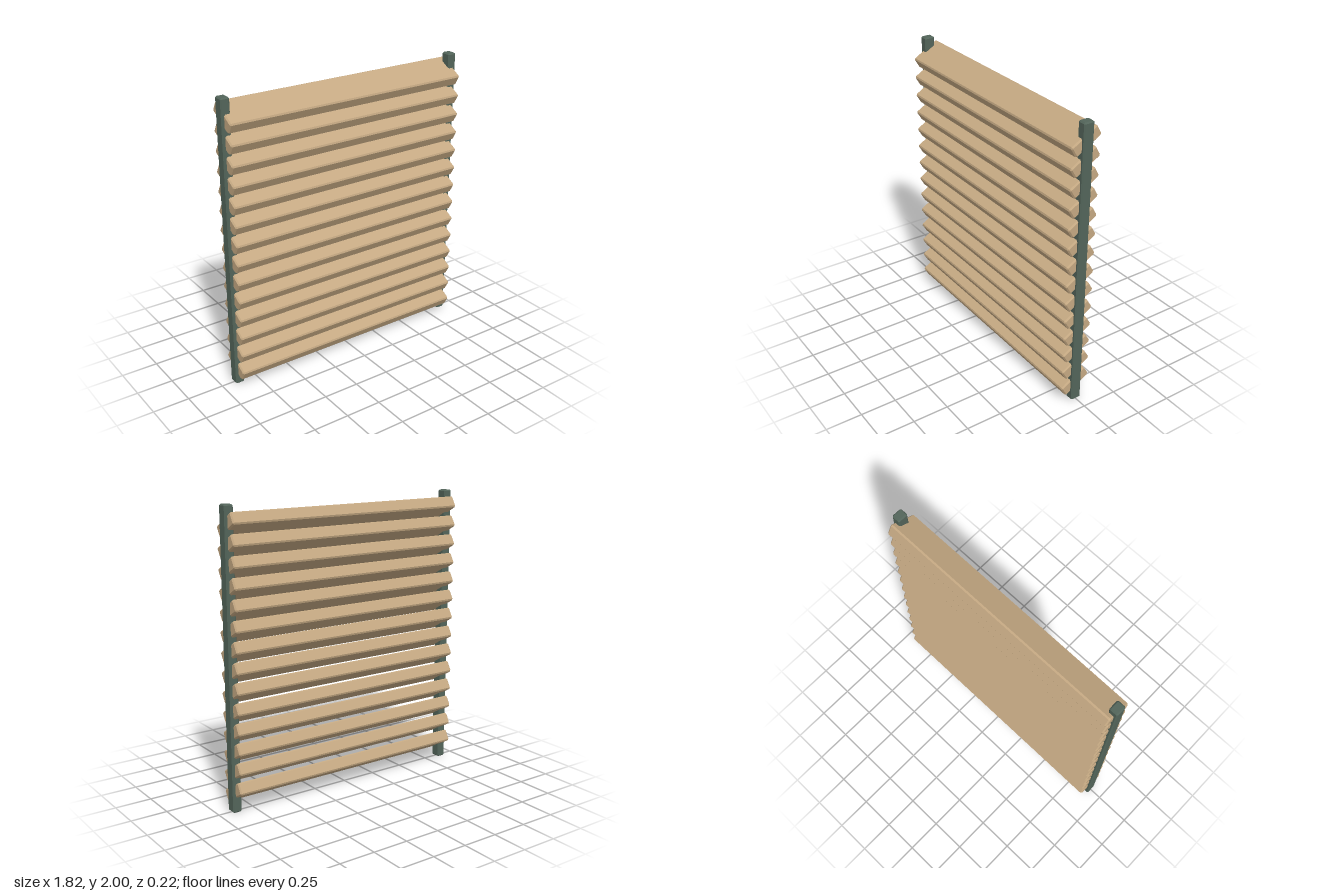
import * as THREE from 'three';

// Box with all edges chamfered by c, centred, its length along z
function chamferBox(w, h, length, c) {
  const x = w / 2, y = h / 2;
  const shape = new THREE.Shape([
    [x - c, -y], [x, -y + c], [x, y - c], [x - c, y],
    [-x + c, y], [-x, y - c], [-x, -y + c], [-x + c, -y],
  ].map(([px, py]) => new THREE.Vector2(px, py)));
  const geometry = new THREE.ExtrudeGeometry(shape, {
    depth: length - 2 * c,
    bevelEnabled: true,
    bevelSegments: 1,
    bevelThickness: c,
    bevelSize: c,
    bevelOffset: -c,
  });
  return geometry.translate(0, 0, c - length / 2);
}

export function createModel() {
  const model = new THREE.Group();
  model.name = 'louvreScreen';

  const wood = new THREE.MeshStandardMaterial({ color: 0xc4a882 });
  const metal = new THREE.MeshStandardMaterial({ color: 0x53655a });

  // Two upright posts
  const postGeometry = chamferBox(0.062, 0.074, 2, 0.008).rotateX(Math.PI / 2);
  for (const side of [-1, 1]) {
    const post = new THREE.Mesh(postGeometry, metal);
    post.name = side > 0 ? 'leftPost' : 'rightPost';
    post.position.set(side * 0.88, 1, 0);
    model.add(post);
  }

  // Tilted slats, front edge down
  const slatCount = 14, firstY = 0.132, lastY = 1.872;
  const slatGeometry = chamferBox(0.211, 0.083, 1.786, 0.009).rotateY(Math.PI / 2);
  const slats = new THREE.Group();
  slats.name = 'slats';
  for (let i = 0; i < slatCount; i++) {
    const slat = new THREE.Mesh(slatGeometry, wood);
    slat.name = `slat${i + 1}`;
    slat.position.y = THREE.MathUtils.lerp(firstY, lastY, i / (slatCount - 1));
    slat.rotation.x = Math.PI / 6;
    slats.add(slat);
  }
  model.add(slats);

  return model;
}
